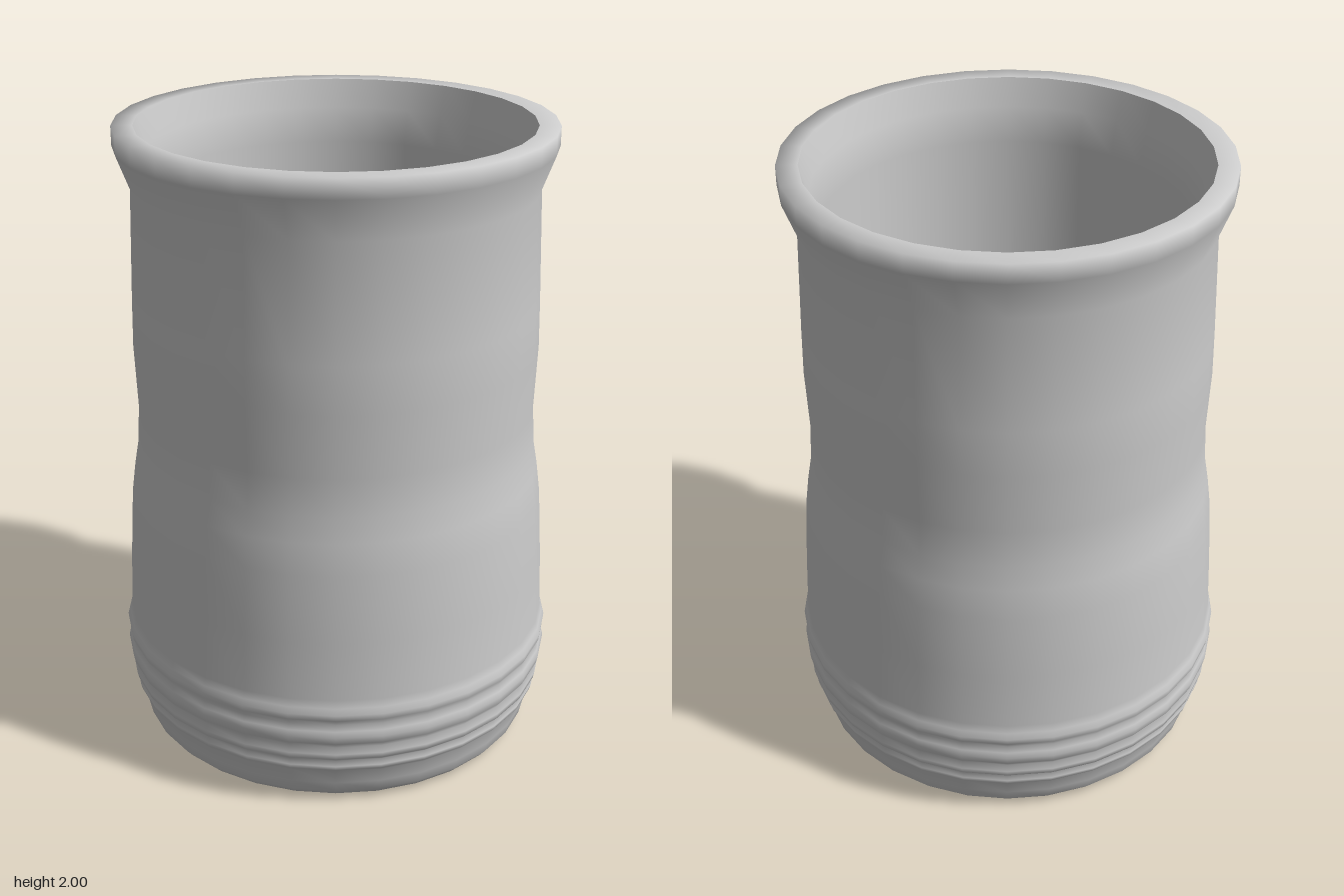
import * as THREE from 'three';

const SIDES = 30;
const material = new THREE.MeshStandardMaterial({ color: 0xcccccc });

// Revolves [radius, height] points; the surface faces left of the path direction's inside.
function turned(name, profile) {
  const points = profile.map(([r, y]) => new THREE.Vector2(r, y));
  const geometry = new THREE.LatheGeometry(points, SIDES, Math.PI / SIDES);
  const mesh = new THREE.Mesh(geometry, material);
  mesh.name = name;
  return mesh;
}

export function createModel() {
  const cup = new THREE.Group();
  cup.name = 'cup';

  // Rounded foot, four ridges, waisted body and flared rim in one smooth skin
  cup.add(turned('outerWall', [
    [0.6, 0], [0.625, 0.012], [0.645, 0.035], [0.653, 0.07], [0.665, 0.12],
    [0.678, 0.135], [0.682, 0.15], [0.672, 0.165],
    [0.688, 0.18], [0.692, 0.2], [0.682, 0.22],
    [0.696, 0.24], [0.701, 0.265], [0.696, 0.285], [0.688, 0.305],
    [0.699, 0.325], [0.701, 0.345], [0.693, 0.365], [0.686, 0.39],
    [0.678, 0.58], [0.665, 0.8], [0.652, 0.9], [0.638, 0.98], [0.632, 1.1],
    [0.64, 1.3], [0.637, 1.45], [0.626, 1.81],
    [0.675, 1.94], [0.675, 2], [0.61, 2],
  ]));

  // Inside of the cup
  cup.add(turned('innerWall', [[0.61, 2], [0.585, 1.91], [0.56, 1.8], [0.56, 0.1]]));
  cup.add(turned('innerFloor', [[0.56, 0.1], [0, 0.1]]));

  // Recessed underside within the foot ring
  cup.add(turned('footRecess', [[0.597, 0.065], [0.597, 0], [0.6, 0]]));
  cup.add(turned('underside', [[0, 0.065], [0.597, 0.065]]));

  return cup;
}
